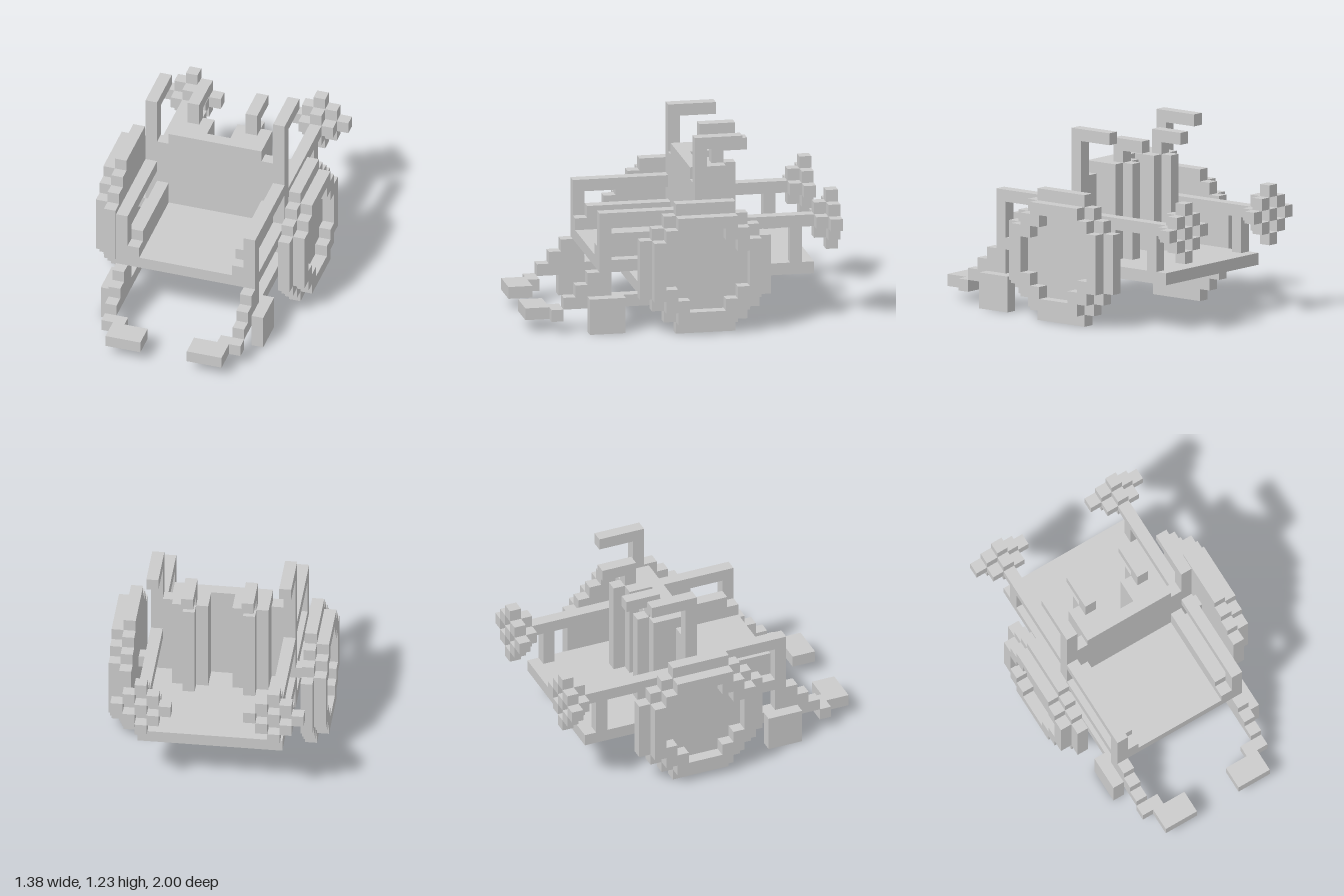
import * as THREE from 'three';

const U = 1 / 13; // one block

export function createModel() {
  const model = new THREE.Group();
  model.name = 'wheelchair';
  const material = new THREE.MeshStandardMaterial({ color: 0xcccccc, flatShading: true });

  // Box given by its minimum and maximum corner, in blocks
  function box(parent, name, x0, x1, y0, y1, z0, z1) {
    const mesh = new THREE.Mesh(
      new THREE.BoxGeometry((x1 - x0) * U, (y1 - y0) * U, (z1 - z0) * U), material);
    mesh.position.set((x0 + x1) / 2 * U, (y0 + y1) / 2 * U, (z0 + z1) / 2 * U);
    mesh.name = name;
    parent.add(mesh);
  }

  // Same box on both sides
  function pair(name, x0, x1, ...rest) {
    box(model, name + 'Left', x0, x1, ...rest);
    box(model, name + 'Right', -x1, -x0, ...rest);
  }

  // Stepped outline of a disc, centred on z = -1.5, y = 5.5, from its row widths
  function discPath(path, widths) {
    const n = widths.length, y0 = 5.5 - n / 2, pts = [];
    widths.forEach((w, i) => pts.push([w / 2, y0 + i], [w / 2, y0 + i + 1]));
    const loop = [...pts, ...pts.map(([w, y]) => [-w, y]).reverse()];
    path.setFromPoints(loop.map(([a, y]) => new THREE.Vector2((a + 1.5) * U, y * U)));
    return path;
  }

  function wheelLayer(parent, name, x, outer, inner) {
    const shape = discPath(new THREE.Shape(), outer);
    if (inner) shape.holes.push(discPath(new THREE.Path(), inner));
    const geometry = new THREE.ExtrudeGeometry(shape, { depth: U, bevelEnabled: false });
    geometry.rotateY(Math.PI / 2); // shape x becomes -z, depth becomes +x
    geometry.translate(x * U, 0, 0);
    const mesh = new THREE.Mesh(geometry, material);
    mesh.name = name;
    parent.add(mesh);
  }

  // Big wheels: full inner disc and a thin outer rim
  for (const side of [1, -1]) {
    const wheel = new THREE.Group();
    wheel.name = side > 0 ? 'wheelLeft' : 'wheelRight';
    wheelLayer(wheel, 'wheelDisc', side > 0 ? 7 : -8, [5, 7, 9, 11, 11, 11, 11, 11, 9, 7, 5]);
    wheelLayer(wheel, 'wheelRim', side > 0 ? 8 : -9, [5, 7, 9, 9, 9, 9, 9, 7, 5], [3, 5, 7, 7, 7, 5, 3]);
    model.add(wheel);
  }
  pair('axle', 6, 7, 5, 6, -2, -1);

  // Seat, rear shelf and backrest
  box(model, 'seat', -5, 5, 5, 6, -2, 7);
  box(model, 'rearShelf', -6, 6, 4, 5, -11, -1);
  box(model, 'backrest', -4, 4, 5, 13, -2, -1);
  pair('backrestEdge', 4, 5, 5, 12, -2, -1);
  pair('sideCushion', 4, 5, 6, 8, -1, 6);
  pair('sideCushionStep', 4, 5, 6, 7, 6, 7);
  pair('seatRail', 5, 6, 5, 6, -1, 6);

  // Arms and push handles
  pair('armrest', 5, 6, 9, 10, -1, 6);
  pair('frontPost', 5, 6, 3, 10, 6, 7);
  pair('backPost', 5, 6, 2, 16, -2, -1);
  pair('pushHandle', 5, 6, 15, 16, -5, -2);

  // Lower frame and front casters
  pair('lowerRail', 5, 6, 2, 3, -1, 8);
  box(model, 'crossBar', -5, 5, 2, 3, 2, 3);
  pair('caster', 6, 7, 0, 3, 5, 8);

  // Stepped leg supports and footplates
  pair('legTop', 5, 6, 3, 5, 7, 8);
  pair('legMiddle', 5, 6, 2, 4, 8, 9);
  pair('legBottom', 5, 6, 2, 3, 9, 10);
  pair('footArm', 4, 6, 1, 2, 10, 11);
  pair('footplate', 2, 5, 1, 2, 11, 13);

  // Tanks with hooked pipes behind the backrest
  pair('tank', 1, 4, 5, 13, -4, -2);
  pair('tankBack', 2, 3, 5, 13, -5, -4);
  pair('pipe', 2, 3, 13, 15, -4, -3);
  pair('pipeHook', 2, 3, 14, 15, -6, -4);

  // Rear side bars and their supports
  pair('rearBar', 5, 6, 8, 9, -11, -2);
  pair('rearBarSupport', 5, 6, 5, 8, -10, -9);

  // Rosettes at the bar ends: a diamond of alternating blocks in two layers
  for (let i = -2; i <= 2; i++) {
    for (let j = -2; j <= 2; j++) {
      const reach = Math.abs(i) + Math.abs(j);
      if (reach > 2) continue;
      const back = reach % 2 === 0;
      const z = back ? -13 : -12;
      pair('rosetteBlock', 5 + i, 6 + i, 8 + j, 9 + j, z, reach === 0 ? -11 : z + 1);
    }
  }
  return model;
}
